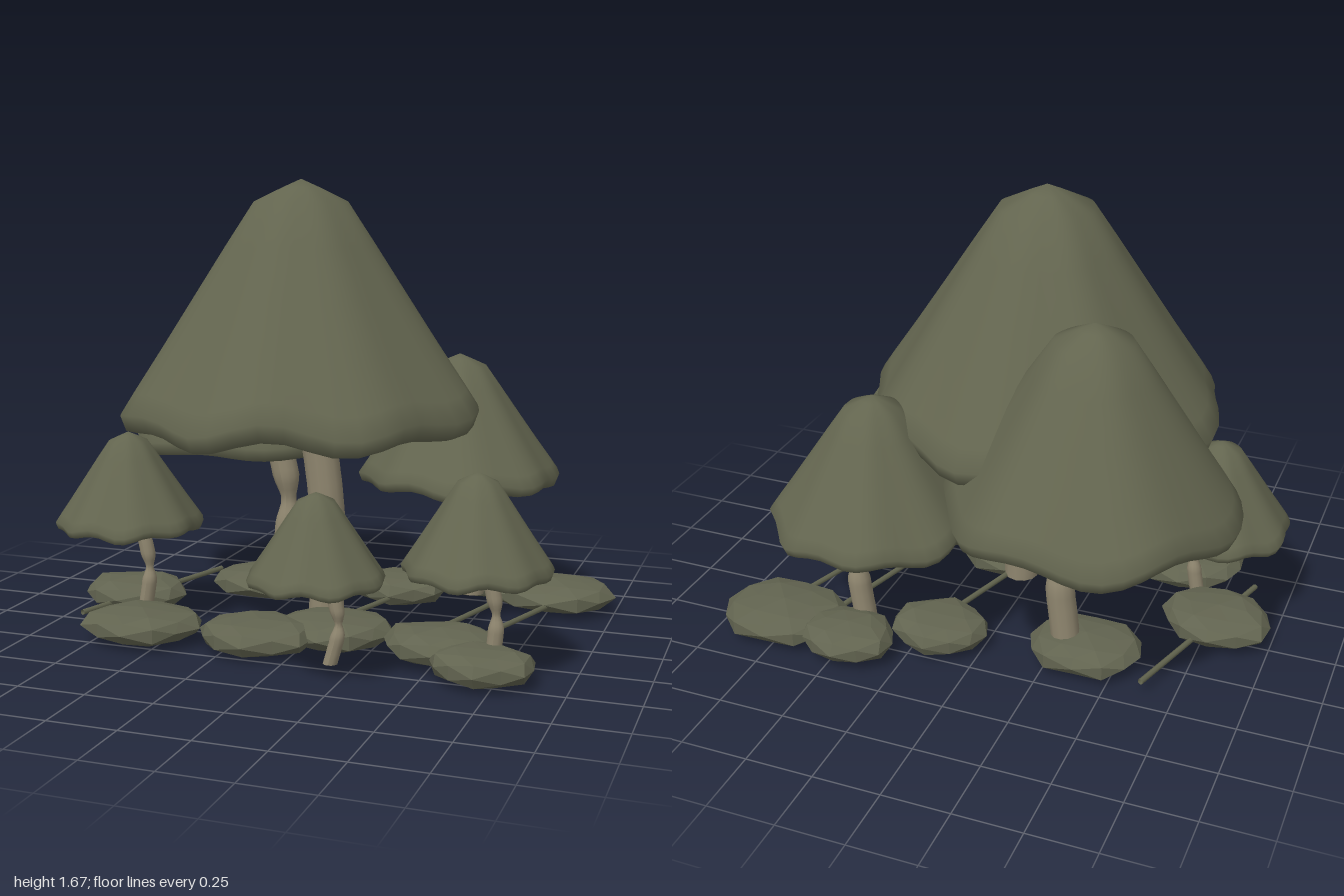
import * as THREE from 'three';
import { mergeVertices } from 'three/addons/utils/BufferGeometryUtils.js';

const capMat = new THREE.MeshStandardMaterial({ color: 0x63654f, side: THREE.DoubleSide });
capMat.name = 'mossy green';
const stoneMat = new THREE.MeshStandardMaterial({ color: 0x626450, flatShading: true });
stoneMat.name = 'stone green';
const stemMat = new THREE.MeshStandardMaterial({ color: 0x8f866f, side: THREE.DoubleSide });
stemMat.name = 'stem tan';

// Apex x, z, y; rim height and radius; lobe count and phase;
// stem base x, waist x and y, waist depth, stem radius
const MUSHROOMS = [
  { x: -0.07, z: 0.10, top: 1.68, rim: 0.83, R: 0.65, lobes: 8, phase: 0.87, base: 0.025, wx: 0.03, wy: 0.45, waist: 0, r: 0.066 },
  { x: -0.39, z: -0.31, top: 1.36, rim: 0.68, R: 0.52, lobes: 6, phase: 1.57, base: -0.31, wx: -0.28, wy: 0.41, waist: 0.5, r: 0.054 },
  { x: 0.39, z: -0.42, top: 1.01, rim: 0.53, R: 0.38, lobes: 8, phase: 3.94, base: 0.455, wx: 0.48, wy: 0.31, waist: 0.5, r: 0.043 },
  { x: -0.73, z: 0.20, top: 0.74, rim: 0.39, R: 0.27, lobes: 8, phase: 5.1, base: -0.67, wx: -0.65, wy: 0.225, waist: 0.55, r: 0.028 },
  { x: 0.16, z: 0.58, top: 0.65, rim: 0.35, R: 0.235, lobes: 8, phase: 0.5, base: 0.21, wx: 0.24, wy: 0.20, waist: 0.55, r: 0.026 },
  { x: 0.66, z: 0.36, top: 0.71, rim: 0.37, R: 0.255, lobes: 8, phase: 2.2, base: 0.72, wx: 0.73, wy: 0.22, waist: 0.55, r: 0.028 },
];

// Flat stones: x, z, radius
const STONES = [
  [-0.58, 0.41, 0.22], [-0.79, 0.04, 0.21], [-0.13, 0.38, 0.22], [0.1, 0.24, 0.22], [0.52, 0.3, 0.21],
  [0.71, 0.45, 0.185], [0.76, -0.5, 0.235], [0.46, -0.56, 0.18], [0.17, -0.38, 0.19], [-0.38, -0.3, 0.21],
];

// Twigs: start x, z to end x, z
const TWIGS = [
  [0.84, -0.55, 0.6, 0.18], [-0.63, -0.43, -0.87, 0.33], [0.19, -0.3, -0.05, 0.46], [0.62, -0.5, 0.42, 0.2],
];

function mesh(name, geometry, material) {
  const m = new THREE.Mesh(geometry, material);
  m.name = name;
  return m;
}

// Fluted hollow bell: inner wall, rolled lip, straight flank and pointed peak
function capGeometry(m) {
  const h = m.top - m.rim;
  const profile = [
    [0, 0.95], [0.23, 0.865], [0.56, 0.5], [0.87, 0.11], [0.93, -0.04], [0.97, -0.03], [1, 0.035], [0.93, 0.12],
    [0.78, 0.295], [0.6, 0.51], [0.42, 0.725], [0.265, 0.905], [0.1, 0.966], [0, 1],
  ].map(([r, y]) => new THREE.Vector2(r * m.R, y * h));
  let g = new THREE.LatheGeometry(profile, 48);
  const p = g.attributes.position;
  for (let i = 0; i < p.count; i++) {
    const x = p.getX(i), z = p.getZ(i);
    const a = Math.atan2(z, x), t = Math.hypot(x, z) / m.R;
    const k = 1 + 0.032 * Math.sqrt(t) * Math.sin(m.lobes * a + m.phase);
    const lift = h * t * t * (0.024 * Math.sin(m.lobes * a + m.phase + 2) + 0.016 * Math.sin(5 * a + m.phase));
    p.setXYZ(i, x * k, p.getY(i) + lift, z * k);
  }
  g.deleteAttribute('uv');
  g.deleteAttribute('normal');
  g = mergeVertices(g, 1e-4);
  g.computeVertexNormals();
  return g;
}

// Bent stem narrowing at a waist
function stemGeometry(m) {
  const y0 = 0.06, y1 = m.rim + 0.4 * (m.top - m.rim);
  const g = new THREE.CylinderGeometry(m.r, m.r, y1 - y0, 12, 32);
  const path = new THREE.CatmullRomCurve3([
    new THREE.Vector3(m.base, y0, 0),
    new THREE.Vector3(m.wx, m.wy, 0),
    new THREE.Vector3(m.wx + (m.x - m.wx) * 0.5, m.rim + 0.02, 0),
    new THREE.Vector3(m.x, y1, 0),
  ]);
  const samples = path.getPoints(120);
  const p = g.attributes.position;
  for (let i = 0; i < p.count; i++) {
    const y = p.getY(i) + (y0 + y1) / 2;
    const c = samples.find((s) => s.y >= y - 1e-4) || samples[120];
    const k = 1 - m.waist * Math.max(0, 1 - Math.abs(y - m.wy) / (m.r * 1.6));
    p.setXYZ(i, c.x + p.getX(i) * k, y, m.z + p.getZ(i) * k);
  }
  g.computeVertexNormals();
  return g;
}

// Thin radial gills inside the bell
function gills(m) {
  const group = new THREE.Group();
  group.name = 'gills';
  const h = m.top - m.rim, drop = 0.27 * h, run = 0.83 * m.R;
  const bar = new THREE.BoxGeometry(Math.hypot(run, drop), 0.012 * m.R + 0.004, 0.012 * m.R + 0.004);
  bar.rotateZ(-Math.atan2(drop, run));
  bar.translate(0.05 * m.R + run / 2, 0.16 * h, 0);
  for (let i = 0; i < 20; i++) {
    const gill = mesh('gill', bar, stemMat);
    gill.rotation.y = (i / 20) * Math.PI * 2;
    group.add(gill);
  }
  return group;
}

// Flattened faceted stone with uneven outline and a thick edge
function stoneGeometry(r, seed) {
  const g = new THREE.IcosahedronGeometry(1, 1);
  const p = g.attributes.position;
  for (let i = 0; i < p.count; i++) {
    const x = p.getX(i), y = p.getY(i), z = p.getZ(i);
    const k = 1 + 0.08 * Math.sin(x * 5 + seed * 3) * Math.cos(z * 4 + seed);
    p.setXYZ(i, x * r * k, Math.sign(y) * Math.pow(Math.abs(y), 0.7) * 0.058 * k, z * r * 0.83 * k);
  }
  g.computeVertexNormals();
  return g;
}

export function createModel() {
  const model = new THREE.Group();
  model.name = 'mushroomCluster';

  MUSHROOMS.forEach((m, i) => {
    const group = new THREE.Group();
    group.name = 'mushroom' + (i + 1);
    const head = new THREE.Group();
    head.name = 'head';
    head.position.set(m.x, m.rim, m.z);
    head.add(mesh('cap', capGeometry(m), capMat), gills(m));
    group.add(head, mesh('stem', stemGeometry(m), stemMat));
    model.add(group);
  });

  STONES.forEach(([x, z, r], i) => {
    const stone = mesh('stone', stoneGeometry(r, i + 1), stoneMat);
    stone.position.set(x, 0.073 + 0.006 * Math.sin(i * 2), z);
    model.add(stone);
  });

  TWIGS.forEach(([x0, z0, x1, z1]) => {
    const line = new THREE.LineCurve3(new THREE.Vector3(x0, 0.06, z0), new THREE.Vector3(x1, 0.06, z1));
    model.add(mesh('twig', new THREE.TubeGeometry(line, 1, 0.011, 6), capMat));
  });

  return model;
}
